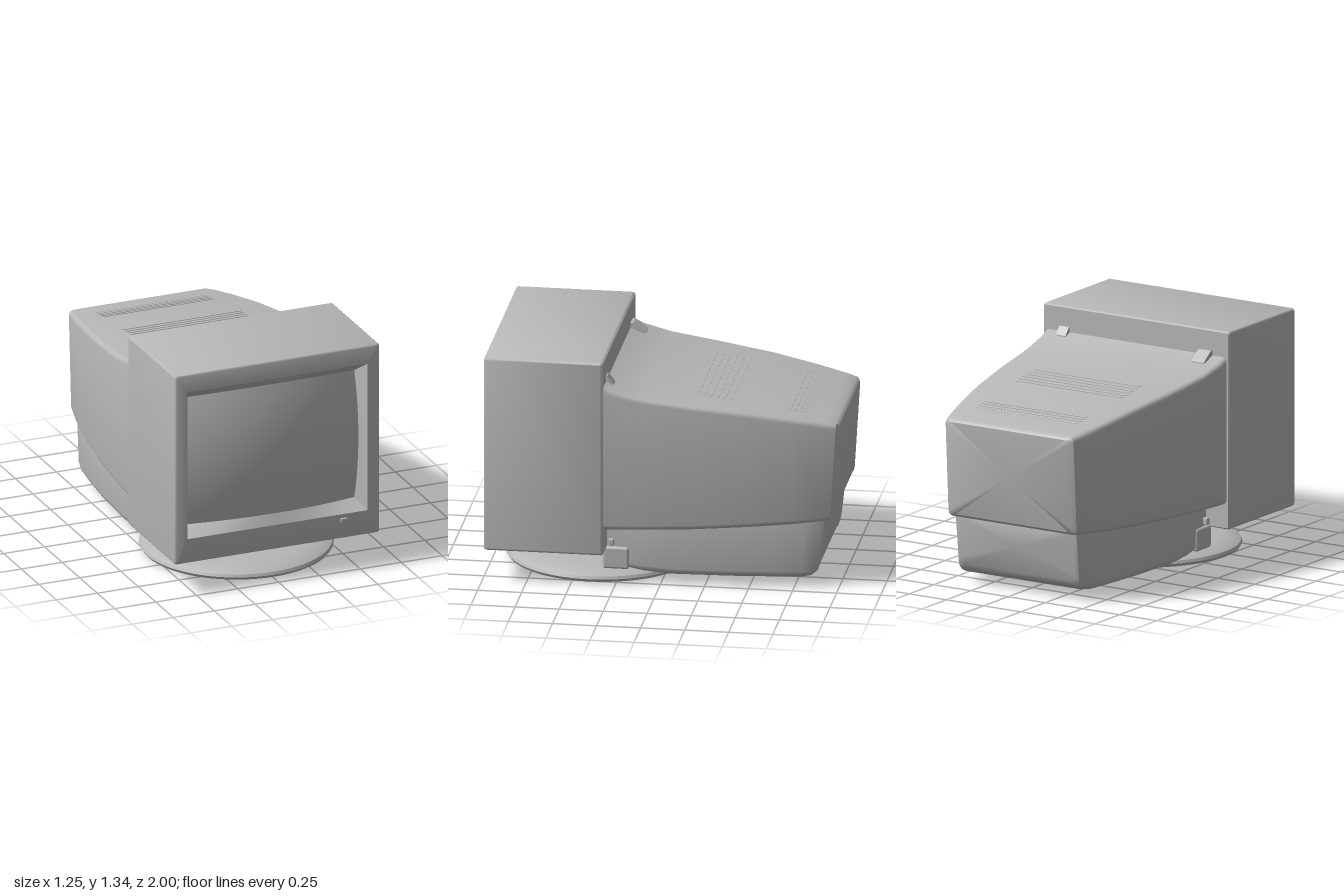
import * as THREE from 'three';
import { toCreasedNormals } from 'three/addons/utils/BufferGeometryUtils.js';
import { RoundedBoxGeometry } from 'three/addons/geometries/RoundedBoxGeometry.js';

const plastic = new THREE.MeshStandardMaterial({ color: 0xb8b8b8 });
plastic.name = 'grey plastic';

// Points of one rounded rectangle: [z, halfWidth, bottom, top, radius, lean of the top edge in z]
function ringPoints([z, w, y0, y1, r, lean = 0], steps = 4) {
  const pts = [];
  for (let c = 0; c < 4; c++) {
    const sx = c === 0 || c === 3 ? 1 : -1;
    const cy = c < 2 ? y1 - r : y0 + r;
    for (let s = 0; s <= steps; s++) {
      const a = (c + s / steps) * Math.PI / 2;
      const y = cy + r * Math.sin(a);
      const t = Math.max(0, (y - y0) / (y1 - y0));
      pts.push([sx * (w - r) + r * Math.cos(a), y, z + lean * Math.sqrt(t)]);
    }
  }
  return pts;
}

// Skin over rings running from front to back, closed at the requested ends
function loft(rings, capFront, capBack, crease = 0.6) {
  const loops = rings.map((r) => ringPoints(r));
  const centre = ([z, , y0, y1, , lean = 0], loop) => loop.map(() => [0, (y0 + y1) / 2, z + lean * 0.75]);
  if (capFront) loops.unshift(centre(rings[0], loops[0]));
  if (capBack) loops.push(centre(rings.at(-1), loops.at(-1)));
  const n = loops[0].length, index = [];
  for (let j = 0; j < loops.length - 1; j++) {
    for (let i = 0; i < n; i++) {
      const a = j * n + i, b = j * n + (i + 1) % n;
      index.push(a, a + n, b, b, a + n, b + n);
    }
  }
  const geo = new THREE.BufferGeometry();
  geo.setAttribute('position', new THREE.Float32BufferAttribute(loops.flat(2), 3));
  geo.setIndex(index);
  return toCreasedNormals(geo, crease);
}

// Grid surface whose points follow fn(u, v), u and v in 0..1
function surface(nu, nv, fn) {
  const geo = new THREE.PlaneGeometry(1, 1, nu, nv);
  const p = geo.attributes.position;
  for (let i = 0; i < p.count; i++) p.setXYZ(i, ...fn(p.getX(i) + 0.5, p.getY(i) + 0.5));
  return toCreasedNormals(geo, 0.6);
}

// Bulging glass, u and v in -1..1
function screenPoint(u, v) {
  const arch = 1 - u * u;
  const bottom = 0.39 + 0.015 * arch, top = 1.16 + 0.03 * arch;
  return [u * (0.517 + 0.006 * (1 - v * v)), bottom + (top - bottom) * (v + 1) / 2,
    0.998 - 0.08 * u * u - 0.045 * v * v];
}

const housingRings = [
  [0.315, 0.61, 0.345, 1.2, 0.03],
  [0.25, 0.608, 0.346, 1.172, 0.03],
  [0.1, 0.6, 0.35, 1.135, 0.03],
  [-0.2, 0.575, 0.36, 1.097, 0.03],
  [-0.5, 0.535, 0.375, 1.06, 0.03],
  [-0.75, 0.49, 0.39, 1.02, 0.03],
  [-0.9, 0.45, 0.4, 0.99, 0.03, -0.025],
  [-0.945, 0.43, 0.405, 0.978, 0.03, -0.04],
  [-0.96, 0.405, 0.42, 0.963, 0.025, -0.04],
];

// Height of the sloping housing top at a given z
function topY(z) {
  const i = housingRings.findIndex((r) => r[0] <= z);
  const a = housingRings[i - 1], b = housingRings[i];
  return a[3] + (b[3] - a[3]) * (z - a[0]) / (b[0] - a[0]);
}

export function createModel() {
  const model = new THREE.Group();
  model.name = 'monitor';
  const add = (name, geo, x = 0, y = 0, z = 0, parent = model) => {
    const mesh = new THREE.Mesh(geo, plastic);
    mesh.name = name;
    mesh.position.set(x, y, z);
    parent.add(mesh);
    return mesh;
  };

  // Front case, open at the front for the screen
  add('frontCase', loft([
    [0.985, 0.55, 0.347, 1.235, 0.001],
    [0.985, 0.614, 0.212, 1.332, 0.012],
    [0.981, 0.622, 0.204, 1.34, 0.015],
    [0.973, 0.626, 0.2, 1.344, 0.015],
    [0.32, 0.626, 0.2, 1.344, 0.015],
    [0.308, 0.618, 0.208, 1.336, 0.012],
  ], false, true));

  // Sloping frame between case and glass
  const corners = [[-1, -1], [1, -1], [1, 1], [-1, 1]];
  add('screenSurround', surface(96, 1, (s, t) => {
    const k = Math.min(3, Math.floor(s * 4 + 1e-6)), f = s * 4 - k;
    const [a, b] = [corners[k], corners[(k + 1) % 4]];
    const u = a[0] + (b[0] - a[0]) * f, v = a[1] + (b[1] - a[1]) * f;
    if (t < 0.5) return [u * 0.55, 0.791 + v * 0.444, 0.985];
    return screenPoint(u, v);
  }));
  add('screen', surface(24, 20, (u, v) => screenPoint(u * 2 - 1, v * 2 - 1)));
  add('powerButton', new RoundedBoxGeometry(0.042, 0.028, 0.02, 2, 0.005), 0.405, 0.31, 0.986);

  // Tapering rear housing and the narrower section below it
  add('rearHousing', loft(housingRings, true, true));
  add('lowerHousing', loft([
    [0.312, 0.47, 0.1, 0.42, 0.03],
    [0.18, 0.485, 0.085, 0.42, 0.03],
    [0.1, 0.495, 0.07, 0.42, 0.04],
    [-0.05, 0.5, 0.06, 0.42, 0.04],
    [-0.4, 0.485, 0.06, 0.43, 0.04],
    [-0.65, 0.46, 0.06, 0.44, 0.04],
    [-0.79, 0.44, 0.06, 0.44, 0.04, -0.02],
    [-0.84, 0.425, 0.066, 0.44, 0.045, -0.045],
    [-0.87, 0.405, 0.09, 0.44, 0.045, -0.05],
    [-0.88, 0.385, 0.12, 0.43, 0.04, -0.045],
  ], true, true));

  // Side clips next to the stand
  for (const side of [1, -1]) {
    const name = side > 0 ? 'leftSideClip' : 'rightSideClip';
    add(name, new RoundedBoxGeometry(0.09, 0.13, 0.15, 2, 0.015), side * 0.45, 0.145, 0.255);
    add(name + 'Knob', new RoundedBoxGeometry(0.03, 0.04, 0.03, 2, 0.006), side * 0.49, 0.24, 0.28);
  }

  // Wedge latches on the top seam: [x, width, length, height]
  for (const [x, w, len, h] of [[-0.47, 0.085, 0.09, 0.06], [0.478, 0.065, 0.045, 0.05]]) {
    const wedge = new THREE.Shape([[0, -0.03], [len, -0.03], [len, h], [len * 0.8, h], [0, 0.006]]
      .map((p) => new THREE.Vector2(...p)));
    const geo = new THREE.ExtrudeGeometry(wedge, { depth: w, bevelEnabled: false });
    geo.translate(0, 0, -w / 2).rotateY(-Math.PI / 2);
    add('topLatch', geo, x, topY(0.31 - len), 0.31 - len);
  }

  // Rows of shallow vent ribs on the sloping top: [first z, last z, half width]
  const vents = new THREE.Group();
  vents.name = 'topVents';
  model.add(vents);
  for (const [z0, z1, half] of [[-0.19, -0.38, 0.36], [-0.71, -0.86, 0.34]]) {
    for (let i = 0; i < 6; i++) {
      const z = z0 + (z1 - z0) * i / 5;
      const rib = add('ventRib', new THREE.BoxGeometry(half * 2, 0.006, 0.014), 0, topY(z), z, vents);
      rib.rotation.x = -Math.atan((topY(z + 0.01) - topY(z - 0.01)) / 0.02);
    }
  }

  // Swivel stand: flared neck on a round foot
  const lathe = (pts) => toCreasedNormals(
    new THREE.LatheGeometry(pts.map((p) => new THREE.Vector2(...p)), 64), 0.5);
  add('standNeck', lathe([[0.285, 0.07], [0.29, 0.1], [0.32, 0.14], [0.375, 0.195], [0.385, 0.21]]), 0, 0, 0.4);
  add('standFoot', lathe([[0, 0.004], [0.505, 0.004], [0.535, 0.013], [0.547, 0.03], [0.54, 0.046],
    [0.505, 0.065], [0.42, 0.08], [0.3, 0.086], [0, 0.086]]), 0, 0, 0.4);

  return model;
}
